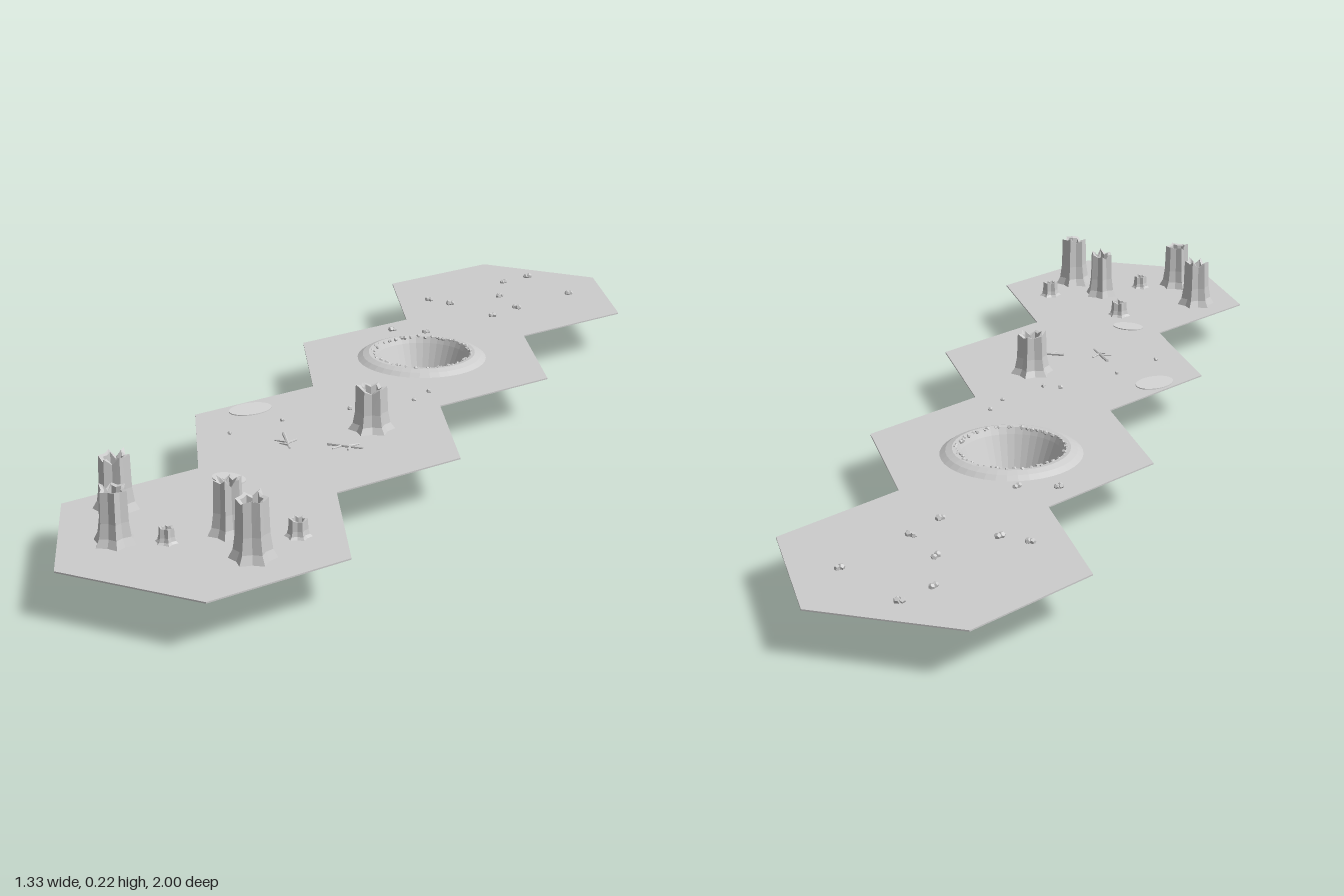
import * as THREE from 'three';

const GROUND = 0.1;

// small seeded generator
function seeded(seed) {
  let s = seed;
  return () => (s = (s * 16807) % 2147483647) / 2147483647;
}

// hollow broken trunk: lobed rings going up the outside, over the jagged lip and down the inside
function trunkGeometry(radius, height, rand) {
  const rings = [[1, 0], [0.8, 0.14], [0.7, 0.4], [0.66, 0.9], [0.46, 0.88], [0.38, 0.2], [0.01, 0.18]];
  const n = 12, pos = [], idx = [];
  const jag = Array.from({ length: n }, (_, j) => (j % 2 ? -0.04 : 0.03) + rand() * 0.1);
  const turn = rand() * 2;
  rings.forEach(([r, y], i) => {
    for (let j = 0; j < n; j++) {
      const a = turn + (j / n) * Math.PI * 2;
      const rr = radius * r * (j % 2 ? 0.75 : 1);
      const top = i === 3 || i === 4 ? jag[j] : 0;
      pos.push(Math.cos(a) * rr, height * (y + top), Math.sin(a) * rr);
    }
  });
  for (let i = 0; i < rings.length - 1; i++) {
    for (let j = 0; j < n; j++) {
      const a = i * n + j, b = i * n + (j + 1) % n;
      idx.push(a, a + n, b, b, a + n, b + n);
    }
  }
  const g = new THREE.BufferGeometry();
  g.setAttribute('position', new THREE.Float32BufferAttribute(pos, 3));
  g.setIndex(idx);
  const flat = g.toNonIndexed();
  flat.computeVertexNormals();
  return flat;
}

export function createModel() {
  const root = new THREE.Group();
  const rand = seeded(4711);
  const stone = new THREE.MeshStandardMaterial({ color: 0xcccccc, side: THREE.DoubleSide, flatShading: true });
  stone.name = 'stone grey';
  const pale = new THREE.MeshStandardMaterial({ color: 0xd6d6d6 });
  pale.name = 'pale grey';

  const add = (name, geo, x, y, z, parent = root, mat = stone) => {
    const m = new THREE.Mesh(geo, mat);
    m.name = name;
    m.position.set(x, y, z);
    parent.add(m);
    return m;
  };
  const group = (name) => {
    const g = new THREE.Group();
    g.name = name;
    root.add(g);
    return g;
  };

  // four hexagonal ground tiles in a diagonal chain, one pierced by the crater
  const R = 2 / 6.5, W = R * Math.sqrt(3);
  const crater = { x: 0.135, z: -0.255 };
  for (let k = 0; k < 4; k++) {
    const x = (1.5 - k) * W / 2, z = (k - 1.5) * 1.5 * R;
    const shape = new THREE.Shape();
    for (let i = 0; i < 6; i++) {
      const a = Math.PI / 2 + i * Math.PI / 3;
      shape[i ? 'lineTo' : 'moveTo'](Math.cos(a) * R, Math.sin(a) * R);
    }
    shape.closePath();
    if (k === 1) {
      shape.holes.push(new THREE.Path().absarc(crater.x - x, -(crater.z - z), 0.109, 0, Math.PI * 2, true));
    }
    const g = new THREE.ExtrudeGeometry(shape, { depth: 0.003, bevelEnabled: false, curveSegments: 24 });
    g.rotateX(-Math.PI / 2);
    add('groundTile' + (k + 1), g, x, GROUND - 0.003, z);
  }

  // crater bowl with its low raised rim
  const bowl = [[0, 0], [0.066, 0], [0.087, 0.05], [0.107, 0.098], [0.114, 0.112], [0.124, 0.113], [0.138, 0.108], [0.15, 0.1]];
  add('craterBowl', new THREE.LatheGeometry(bowl.map(p => new THREE.Vector2(...p)), 40), crater.x, 0, crater.z);

  // rough peak in the middle of the crater
  const peak = [[0.054, 0.001], [0.046, 0.012], [0.034, 0.02], [0.026, 0.045], [0.014, 0.056], [0, 0.05]];
  add('craterPeak', new THREE.LatheGeometry(peak.map(p => new THREE.Vector2(...p)), 11), crater.x, 0, crater.z);

  // rubble around the crater lip
  const rubble = group('craterRubble');
  for (let i = 0; i < 52; i++) {
    const a = (i + rand() * 0.8) / 52 * Math.PI * 2, r = 0.108 + rand() * 0.01;
    const s = 0.003 + rand() * 0.003;
    const m = add('rubbleStone', new THREE.DodecahedronGeometry(s), crater.x + Math.cos(a) * r, 0.111, crater.z + Math.sin(a) * r, rubble);
    m.rotation.set(rand() * 3, rand() * 3, 0);
  }

  // broken hollow trunks: x, z, base radius, height
  [
    [-0.56, 0.575, 0.046, 0.115], [-0.56, 0.73, 0.043, 0.113], [-0.35, 0.71, 0.042, 0.113],
    [-0.31, 0.825, 0.046, 0.124], [-0.03, 0.2, 0.05, 0.098], [-0.465, 0.74, 0.023, 0.031],
    [-0.345, 0.538, 0.028, 0.037], [-0.222, 0.738, 0.027, 0.036],
  ].forEach(([x, z, r, h]) => add('hollowTrunk', trunkGeometry(r, h, rand), x, GROUND, z));

  // flat oval slabs: x, z, half length, half width, turn
  [[-0.28, 0.057, 0.05, 0.035, 0.5], [-0.34, 0.447, 0.038, 0.026, -0.7]].forEach(([x, z, a, b, turn]) => {
    const m = add('ovalSlab', new THREE.CylinderGeometry(1, 1, 0.002, 28), x, GROUND + 0.001, z, root, pale);
    m.scale.set(a, 1, b);
    m.rotation.y = turn;
  });

  // fallen branches as straight twigs between ground points: x0, z0, x1, z1, radius
  const branches = group('fallenBranches');
  [
    [-0.217, 0.218, -0.21, 0.302, 0.004], [-0.216, 0.262, -0.238, 0.252, 0.003],
    [-0.214, 0.272, -0.192, 0.252, 0.003], [-0.212, 0.28, -0.228, 0.27, 0.003],
    [-0.13, 0.285, -0.06, 0.318, 0.004], [-0.102, 0.298, -0.122, 0.312, 0.003],
    [-0.09, 0.302, -0.065, 0.292, 0.003], [-0.085, 0.306, -0.092, 0.322, 0.003],
  ].forEach(([x0, z0, x1, z1, r]) => {
    const dir = new THREE.Vector3(x1 - x0, 0, z1 - z0), len = dir.length();
    const m = add('twig', new THREE.CylinderGeometry(r * 0.6, r, len, 6), (x0 + x1) / 2, GROUND + r * 0.8, (z0 + z1) / 2, branches);
    m.quaternion.setFromUnitVectors(new THREE.Vector3(0, 1, 0), dir.normalize());
  });

  // scattered pebbles: x, z
  const pebbles = group('pebbles');
  [
    [0.49, -0.865], [0.42, -0.82], [0.205, -0.69], [0.255, -0.65], [0.39, -0.7], [0.57, -0.705],
    [0.415, -0.605], [0.345, -0.54], [0.085, -0.455], [0.165, -0.43], [0.12, -0.01], [0.08, 0.04],
    [-0.065, 0.08], [-0.03, 0.1], [-0.215, 0.135], [-0.33, 0.2],
  ].forEach(([x, z], i) => {
    for (let k = 0; k < (i < 10 ? 2 : 1); k++) {
      const s = (i < 10 ? 0.006 : 0.0045) + rand() * 0.002;
      const m = add('pebble', new THREE.DodecahedronGeometry(s), x + k * 0.008, GROUND + s * 0.5, z + k * (rand() - 0.5) * 0.016, pebbles);
      m.rotation.set(rand() * 3, rand() * 3, rand() * 3);
    }
  });

  return root;
}
